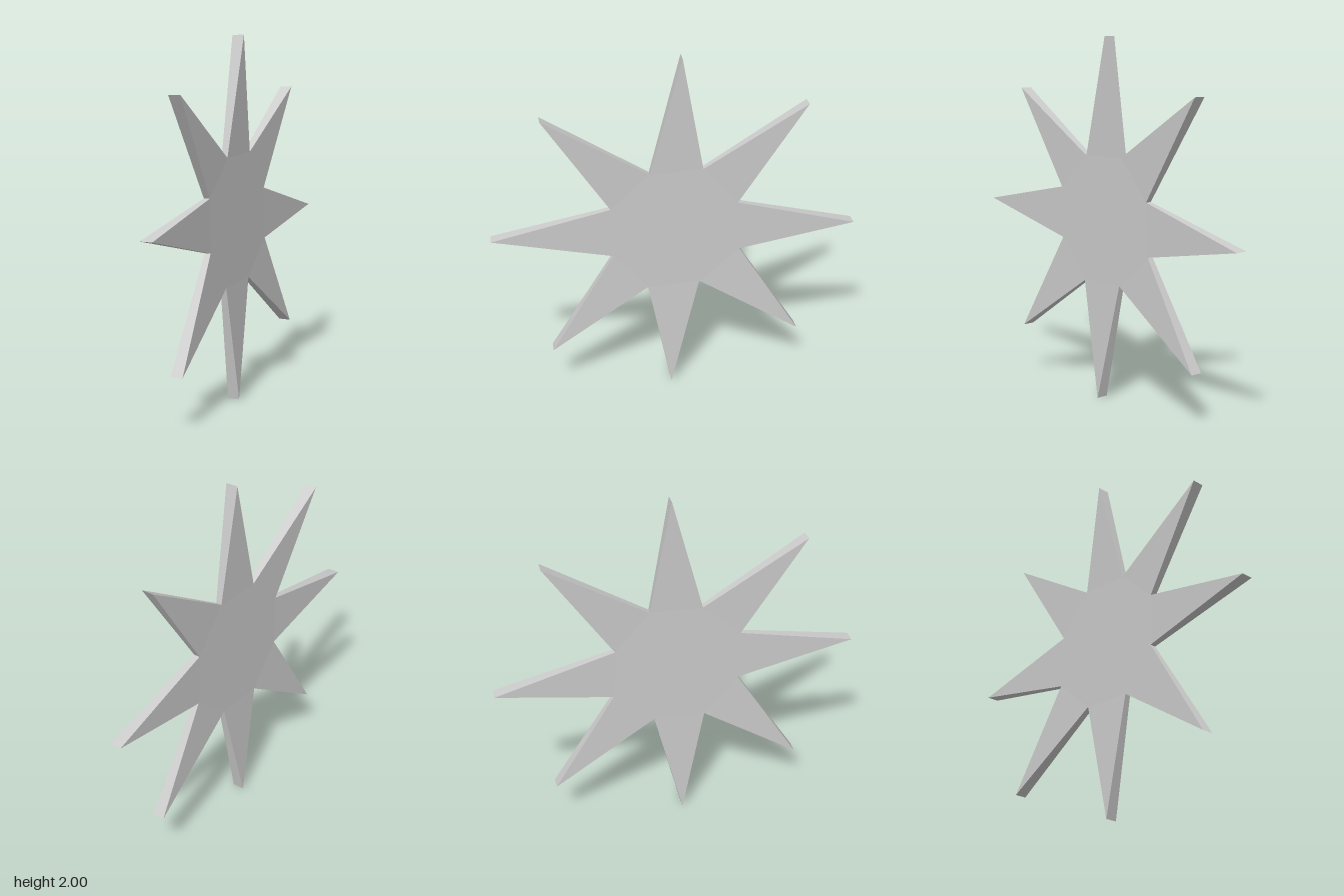
import * as THREE from 'three';

// Star outline as [z, y], alternating tip and notch
const OUTLINE = [
  [-0.03, 2], [-0.147, 1.363],
  [-0.705, 1.705], [-0.34, 1.143],
  [-1, 0.97], [-0.356, 0.852],
  [-0.705, 0.295], [-0.131, 0.662],
  [0.03, 0], [0.158, 0.651],
  [0.705, 0.295], [0.348, 0.871],
  [1, 1.03], [0.356, 1.16],
  [0.705, 1.705], [0.142, 1.353],
];
const TIP = 0.034;   // half thickness at the ray tips
const CORE = 0.017;  // half thickness at the notches and the middle

function starGeometry() {
  const positions = [];
  const triangle = (...corners) => corners.forEach((c) => positions.push(...c));
  const corner = (i, side) => {
    const k = i % OUTLINE.length;
    const [z, y] = OUTLINE[k];
    return [side * (k % 2 ? CORE : TIP), y, z];
  };

  for (let tip = 0; tip < OUTLINE.length; tip += 2) {
    const before = tip + OUTLINE.length - 1;
    const after = tip + 1;
    // Broad faces: one ray and its wedge of the core on each side
    for (const side of [1, -1]) {
      const [a, b] = side > 0 ? [after, before] : [before, after];
      triangle(corner(tip, side), corner(b, side), corner(a, side));
      triangle([side * CORE, 1.005, 0], corner(a, side), corner(b, side));
    }
    // Rim walls on both flanks of the ray
    for (const [a, b] of [[before, tip], [tip, after]]) {
      triangle(corner(a, 1), corner(a, -1), corner(b, -1));
      triangle(corner(a, 1), corner(b, -1), corner(b, 1));
    }
  }

  const geometry = new THREE.BufferGeometry();
  geometry.setAttribute('position', new THREE.Float32BufferAttribute(positions, 3));
  geometry.computeVertexNormals();
  return geometry;
}

export function createModel() {
  const group = new THREE.Group();
  group.name = 'eightPointedStar';
  const star = new THREE.Mesh(
    starGeometry(),
    new THREE.MeshStandardMaterial({ color: 0xcccccc, flatShading: true, side: THREE.DoubleSide }),
  );
  star.name = 'starPlate';
  group.add(star);
  return group;
}
